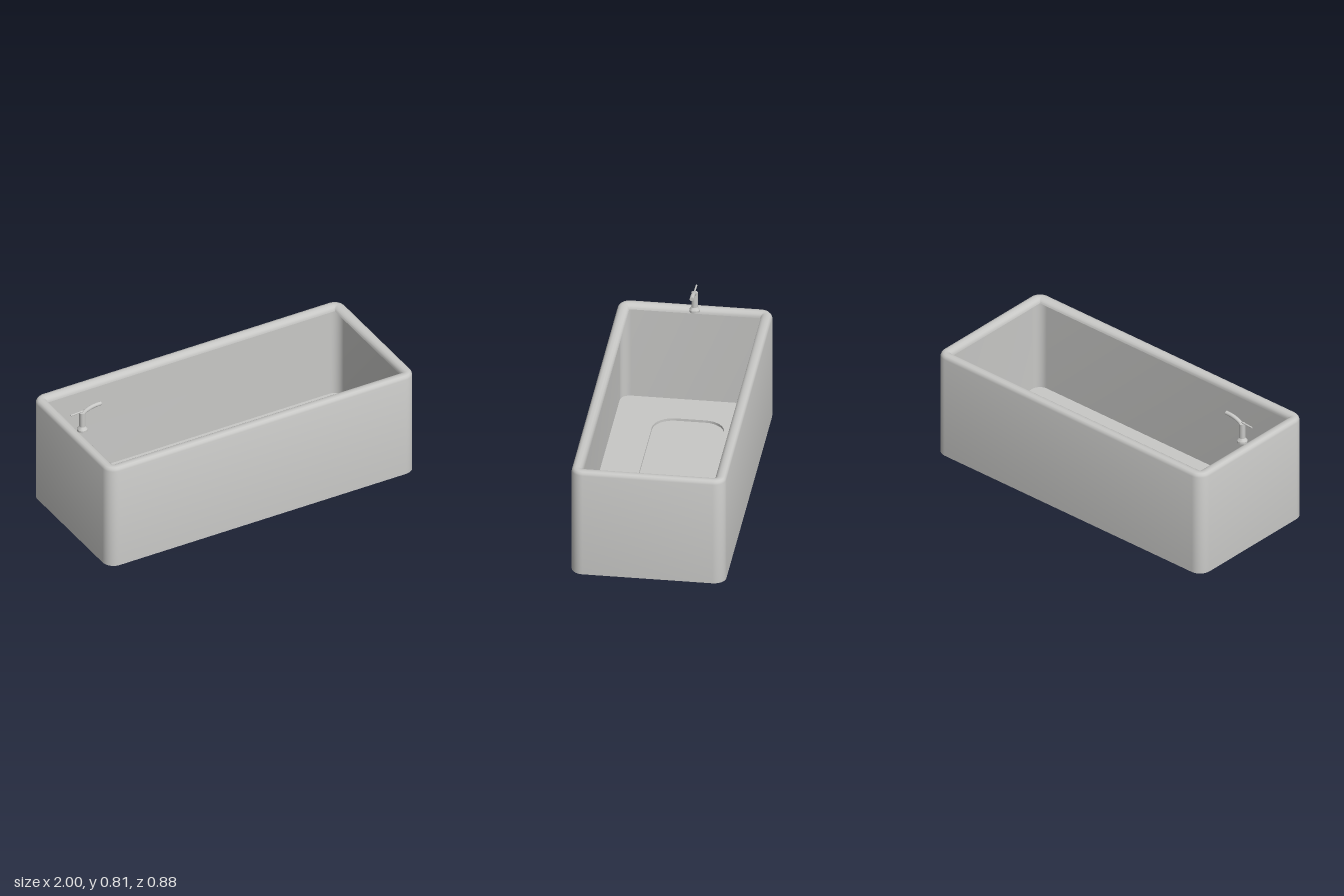
import * as THREE from 'three';
import { toCreasedNormals } from 'three/addons/utils/BufferGeometryUtils.js';

const CORNER_STEPS = 8;

// Rounded rectangle at height y, as a loop of points
function roundedLoop(hx, hz, r, y) {
  const points = [];
  const signs = [[1, 1], [-1, 1], [-1, -1], [1, -1]];
  signs.forEach(([sx, sz], q) => {
    for (let i = 0; i <= CORNER_STEPS; i++) {
      const a = (q + i / CORNER_STEPS) * Math.PI / 2;
      points.push([sx * (hx - r) + r * Math.cos(a), y, sz * (hz - r) + r * Math.sin(a)]);
    }
  });
  return points;
}

// Skin through the loops in order, with a flat fan closing each end
function loft(loops) {
  const n = loops[0].length;
  const pos = [];
  const tri = (...pts) => pts.forEach((p) => pos.push(...p));
  const first = [0, loops[0][0][1], 0];
  const last = [0, loops[loops.length - 1][0][1], 0];
  for (let j = 0; j < n; j++) {
    const k = (j + 1) % n;
    tri(first, loops[0][j], loops[0][k]);
    for (let i = 0; i < loops.length - 1; i++) {
      const a = loops[i][j], b = loops[i][k], c = loops[i + 1][j], d = loops[i + 1][k];
      tri(a, c, b);
      tri(b, c, d);
    }
    tri(last, loops[loops.length - 1][k], loops[loops.length - 1][j]);
  }
  const g = new THREE.BufferGeometry();
  g.setAttribute('position', new THREE.Float32BufferAttribute(pos, 3));
  return toCreasedNormals(g, 0.7);
}

export function createModel() {
  const group = new THREE.Group();
  const grey = new THREE.MeshStandardMaterial({ color: 0xc8c8c6 });
  grey.name = 'light grey';

  const add = (name, geometry, parent = group) => {
    const mesh = new THREE.Mesh(geometry, grey);
    mesh.name = name;
    parent.add(mesh);
    return mesh;
  };

  // Tub: outer wall, rounded rim with an overhanging lip, inner wall, floor
  const profile = [ // inset from the outside, height
    [0, 0], [0, 0.637], [0.004, 0.648], [0.012, 0.657], [0.026, 0.66],
    [0.044, 0.658], [0.056, 0.651], [0.063, 0.642], [0.066, 0.63],
    [0.012, 0.63], [0.012, 0.04],
  ];
  const loops = profile.map(([inset, y]) =>
    roundedLoop(1 - inset, 0.44 - inset, Math.max(0.07 - inset, 0.002), y));
  // Shallow recess in the floor
  loops.push(roundedLoop(0.765, 0.205, 0.12, 0.04), roundedLoop(0.765, 0.205, 0.12, 0.025));
  add('tub', loft(loops));

  // Tap standing on the end rim
  const tap = new THREE.Group();
  tap.name = 'tap';
  tap.position.set(-0.92, 0.655, 0);
  group.add(tap);

  const post = [[0, 0], [0.03, 0], [0.03, 0.013], [0.018, 0.03], [0.018, 0.122], [0, 0.122]]
    .map(([x, y]) => new THREE.Vector2(x, y));
  add('tapPost', toCreasedNormals(new THREE.LatheGeometry(post, 24), 0.5), tap);

  // Curved spout reaching over the tub
  const path = new THREE.CatmullRomCurve3([
    new THREE.Vector3(0, 0.112, 0),
    new THREE.Vector3(0.03, 0.13, 0),
    new THREE.Vector3(0.07, 0.142, 0),
    new THREE.Vector3(0.12, 0.145, 0),
  ]);
  add('spout', new THREE.TubeGeometry(path, 16, 0.012, 16), tap);
  const tip = add('spoutEnd', new THREE.CircleGeometry(0.012, 16), tap);
  tip.position.set(0.12, 0.145, 0);
  tip.rotation.y = Math.PI / 2;

  // Thin lever pointing outwards
  const lever = add('lever', new THREE.CylinderGeometry(0.005, 0.005, 0.08, 12), tap);
  lever.rotation.z = Math.PI / 2 + 0.06;
  lever.position.set(-0.035, 0.127, 0);

  return group;
}
